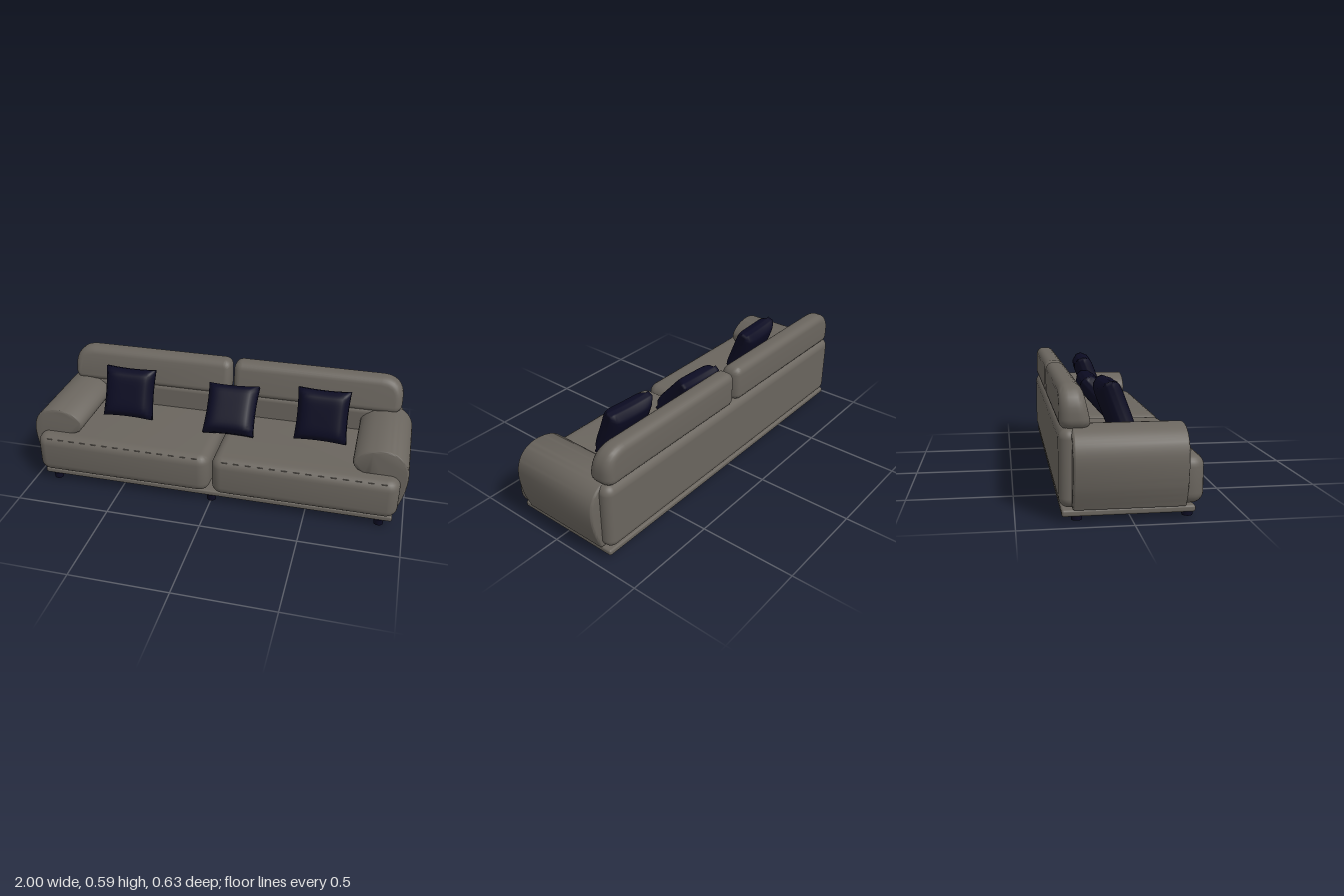
import * as THREE from 'three';
import { toCreasedNormals, mergeVertices } from 'three/addons/utils/BufferGeometryUtils.js';
import { RoundedBoxGeometry } from 'three/addons/geometries/RoundedBoxGeometry.js';

const fabric = new THREE.MeshStandardMaterial({ color: 0x6a655e });
fabric.name = 'greyFabric';
const navy = new THREE.MeshStandardMaterial({ color: 0x0b0b22 });
navy.name = 'navy';

function add(parent, name, geometry, material, x = 0, y = 0, z = 0) {
  const mesh = new THREE.Mesh(geometry, material);
  mesh.name = name;
  mesh.position.set(x, y, z);
  parent.add(mesh);
  return mesh;
}

// Polygon with rounded corners, each point given as [x, y, radius]
function roundedPolygon(points) {
  const shape = new THREE.Shape();
  const n = points.length;
  points.forEach(([x, y, r], i) => {
    const p = new THREE.Vector2(x, y);
    const before = new THREE.Vector2(...points[(i + n - 1) % n].slice(0, 2)).sub(p).setLength(r).add(p);
    const after = new THREE.Vector2(...points[(i + 1) % n].slice(0, 2)).sub(p).setLength(r).add(p);
    if (i === 0) shape.moveTo(before.x, before.y);
    else shape.lineTo(before.x, before.y);
    shape.quadraticCurveTo(x, y, after.x, after.y);
  });
  shape.closePath();
  return shape;
}

// Extrusion whose bevel grows outward from the given outline
function padded(shape, depth, bevel, offset = 0) {
  return new THREE.ExtrudeGeometry(shape, {
    depth: depth - 2 * bevel, bevelEnabled: true, bevelSize: bevel, bevelThickness: bevel,
    bevelOffset: offset, bevelSegments: 6, curveSegments: 8, steps: 1,
  }).translate(0, 0, bevel);
}

// Seat: wide at the front lip, narrower between the arms
function seatGeometry(s) {
  const shape = roundedPolygon([
    [0.056 * s, -0.265, 0.01], [0.914 * s, -0.265, 0.015], [0.914 * s, -0.235, 0.01],
    [0.83 * s, -0.235, 0.01], [0.83 * s, 0.17, 0.01], [0.056 * s, 0.17, 0.01],
  ]);
  const geo = padded(shape, 0.215, 0.05).rotateX(-Math.PI / 2).translate(0, 0.066, 0);
  return toCreasedNormals(geo, 0.7);
}

// Rolled arm: cross-section swept from back to front
function armGeometry(s) {
  const outline = [
    [0.985, 0.16], [1.0, 0.27], [0.985, 0.345], [0.94, 0.395], [0.87, 0.415], [0.79, 0.402],
    [0.737, 0.37], [0.72, 0.335], [0.74, 0.295], [0.79, 0.265], [0.83, 0.2], [0.84, 0.06],
  ].map(([x, y]) => new THREE.Vector2(x * s, y));
  const shape = new THREE.Shape();
  shape.moveTo(0.95 * s, 0.06);
  shape.splineThru(outline);
  shape.closePath();
  const sampled = new THREE.Shape(shape.getSpacedPoints(70));
  return toCreasedNormals(padded(sampled, 0.495, 0.012, -0.012).translate(0, 0, -0.26), 0.7);
}

// Upper back cushion: rounded outer top corner, front leaning out toward the bottom
function headCushionGeometry(s) {
  const b = 0.038;
  const shape = roundedPolygon([
    [(0.007 + b) * s, 0.395 + b, 0.005], [(0.93 - b) * s, 0.395 + b, 0.01],
    [(0.93 - b) * s, 0.587 - b, 0.08], [(0.007 + b) * s, 0.587 - b, 0.008],
  ]);
  const geo = padded(shape, 0.1, b).translate(0, 0, -0.31);
  const p = geo.attributes.position;
  for (let i = 0; i < p.count; i++) {
    const front = (p.getZ(i) + 0.31) / 0.1;
    p.setZ(i, p.getZ(i) + front * (0.587 - p.getY(i)) * 0.22);
  }
  return toCreasedNormals(geo, 0.7);
}

// Square throw pillow: puffed middle, slightly drawn-in sides
function pillowGeometry() {
  const box = new THREE.BoxGeometry(2, 2, 2, 16, 16, 4);
  box.deleteAttribute('uv');
  box.deleteAttribute('normal');
  const geo = mergeVertices(box);
  const p = geo.attributes.position;
  for (let i = 0; i < p.count; i++) {
    const u = p.getX(i), v = p.getY(i), w = p.getZ(i);
    const puff = 0.3 + 0.7 * Math.pow((1 - u ** 6) * (1 - v ** 6), 0.5);
    p.setXYZ(i, 0.138 * u * (1 - 0.05 * (1 - v * v)), 0.138 * v * (1 - 0.05 * (1 - u * u)), 0.056 * w * puff);
  }
  geo.computeVertexNormals();
  return geo;
}

export function createModel() {
  const sofa = new THREE.Group();
  sofa.name = 'sofa';

  // Base plate and feet
  add(sofa, 'basePlate', new RoundedBoxGeometry(1.89, 0.03, 0.58, 3, 0.01), fabric, 0, 0.045, -0.015);
  const foot = new THREE.CylinderGeometry(0.026, 0.024, 0.034, 24);
  for (const x of [-0.88, 0, 0.88])
    for (const z of [0.252, -0.236]) add(sofa, 'foot', foot, navy, x, 0.017, z);

  // Lower back shell
  add(sofa, 'backShell', new RoundedBoxGeometry(1.89, 0.345, 0.11, 6, 0.045), fabric, 0, 0.235, -0.26);

  // Mirrored upholstery
  const dash = new THREE.BoxGeometry(0.03, 0.003, 0.003);
  for (const s of [1, -1]) {
    const side = s > 0 ? 'left' : 'right';
    add(sofa, side + 'Seat', seatGeometry(s), fabric);
    add(sofa, side + 'Arm', armGeometry(s), fabric);
    add(sofa, side + 'HeadCushion', headCushionGeometry(s), fabric);
    add(sofa, side + 'LumbarCushion', new RoundedBoxGeometry(0.84, 0.17, 0.08, 5, 0.03), fabric, 0.427 * s, 0.325, -0.225);
    // Stitching along the front edge of the seat
    for (let i = 0; i < 14; i++)
      add(sofa, side + 'Stitch', dash, fabric, s * (0.08 + i * 0.062), 0.266, 0.3);
  }

  // Throw pillows: x, y, z, lean, turn, roll
  const pillow = pillowGeometry();
  const places = [
    [-0.535, 0.43, -0.022, -0.36, 0.04, -0.02],
    [0.04, 0.398, -0.022, -0.72, -0.04, 0.04],
    [0.53, 0.43, -0.022, -0.36, -0.05, 0.02],
  ];
  for (const [x, y, z, lean, turn, roll] of places)
    add(sofa, 'throwPillow', pillow, navy, x, y, z).rotation.set(lean, turn, roll, 'YXZ');

  return sofa;
}
